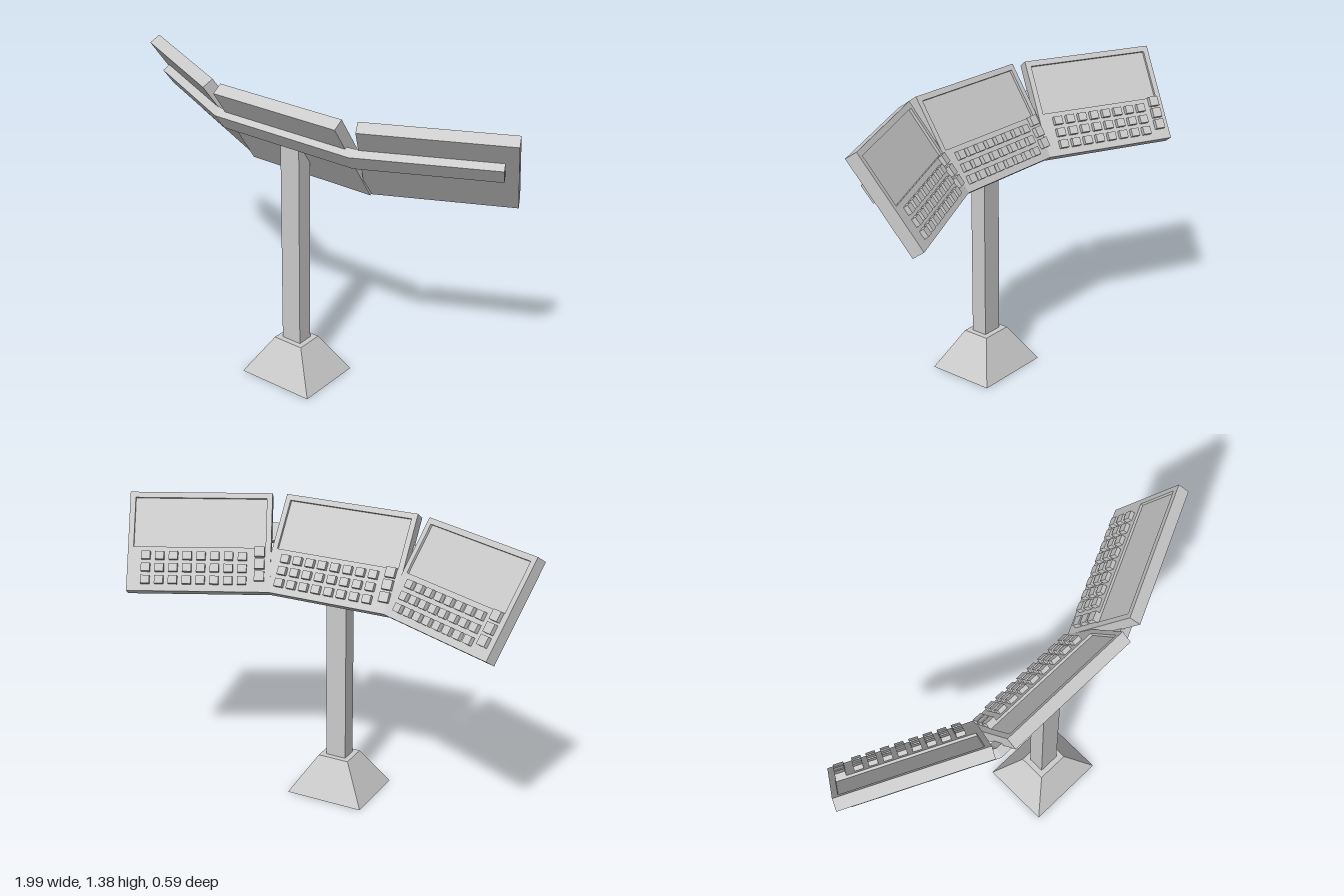
import * as THREE from 'three';

const material = new THREE.MeshStandardMaterial({ color: 0xcccccc, flatShading: true });
const openMaterial = new THREE.MeshStandardMaterial({ color: 0xcccccc, flatShading: true, side: THREE.DoubleSide });

const YAW = THREE.MathUtils.degToRad(25.4); // swing of the side panels
const TILT = 0.585; // lean of every panel from upright
const W = 0.65, H = 0.462, T = 0.056, RECESS = 0.012; // panel size
const POLE_Z = 0.133;

function addMesh(parent, name, geometry, x = 0, y = 0, z = 0, mat = material) {
  const mesh = new THREE.Mesh(geometry, mat);
  mesh.name = name;
  mesh.position.set(x, y, z);
  parent.add(mesh);
  return mesh;
}

function rectangle(PathType, x0, y0, x1, y1) {
  return new PathType([[x0, y0], [x1, y0], [x1, y1], [x0, y1]].map(p => new THREE.Vector2(...p)));
}

// Console panel: local y runs up the slope, local z points out of the keyed face
function makePanel(name) {
  const panel = new THREE.Group();
  panel.name = name;
  addMesh(panel, 'panelBody', new THREE.BoxGeometry(W, H, T - RECESS), 0, 0, -RECESS / 2);

  // Raised rim whose opening forms the sunken screen
  const rim = rectangle(THREE.Shape, -W / 2, -H / 2, W / 2, H / 2);
  rim.holes.push(rectangle(THREE.Path, -0.3, -0.026, 0.3, 0.205));
  addMesh(panel, 'screenFrame', new THREE.ExtrudeGeometry(rim, { depth: RECESS, bevelEnabled: false }), 0, 0, T / 2 - RECESS);

  // Three rows of keys, with a separate column of wider keys at one end
  const key = new THREE.BoxGeometry(0.04, 0.037, 0.02);
  const wideKey = new THREE.BoxGeometry(0.045, 0.045, 0.02);
  for (let row = 0; row < 3; row++) {
    const y = -H / 2 + 0.05 + row * 0.056;
    for (let col = 0; col < 8; col++) addMesh(panel, 'key', key, -0.24 + col * 0.0625, y, T / 2 + 0.01);
    addMesh(panel, 'wideKey', wideKey, 0.275, y + 0.022, T / 2 + 0.01);
  }
  return panel;
}

// Support rail: one cross-section swept through two mitred corners
function makeRailGeometry() {
  const profile = [[0.24, 1.22], [0.192, 1.15], [0.155, 1.175], [0.203, 1.245]]; // z, y
  const stations = [[-1, true], [-1, false], [1, false], [1, true]]; // side, at the outer end
  const positions = [];
  for (const [side, outer] of stations) {
    for (const [z, y] of profile) {
      const d = z - 0.24;
      if (outer) positions.push(side * (0.93 + d * Math.sin(YAW)), y, -0.03 + d * Math.cos(YAW));
      else positions.push(side * (0.362 + d * Math.tan(YAW / 2)), y, z);
    }
  }
  const index = [0, 2, 1, 0, 3, 2, 12, 13, 14, 12, 14, 15];
  for (let i = 0; i < 3; i++) {
    for (let j = 0; j < 4; j++) {
      const a = i * 4 + j, b = i * 4 + (j + 1) % 4;
      index.push(a, b, a + 4, b, b + 4, a + 4);
    }
  }
  const indexed = new THREE.BufferGeometry();
  indexed.setAttribute('position', new THREE.Float32BufferAttribute(positions, 3));
  indexed.setIndex(index);
  const geometry = indexed.toNonIndexed();
  geometry.computeVertexNormals();
  return geometry;
}

export function createModel() {
  const model = new THREE.Group();
  model.name = 'consoleStand';

  // Hollow four-sided foot, open below
  const foot = new THREE.CylinderGeometry(0.4 * Math.SQRT2, Math.SQRT2, 0.18, 4, 1, true);
  foot.rotateY(Math.PI / 4).scale(0.19, 1, 0.1625);
  addMesh(model, 'foot', foot, 0, 0.09, POLE_Z, openMaterial);
  const cap = new THREE.PlaneGeometry(0.152, 0.13).rotateX(-Math.PI / 2);
  addMesh(model, 'footTop', cap, 0, 0.18, POLE_Z, openMaterial);

  // Pole with its top cut to the slope of the panel
  const side = new THREE.Shape([[0.095, 0.03], [0.172, 0.03], [0.172, 1.18], [0.095, 1.065]]
    .map(p => new THREE.Vector2(...p)));
  const pole = new THREE.ExtrudeGeometry(side, { depth: 0.1, bevelEnabled: false });
  pole.rotateY(-Math.PI / 2).translate(0.05, 0, 0);
  addMesh(model, 'pole', pole);

  addMesh(model, 'supportRail', makeRailGeometry());

  // Centre panel and two swung side panels, keys facing the back
  for (const [name, s] of [['rightPanel', -1], ['centrePanel', 0], ['leftPanel', 1]]) {
    const panel = makePanel(name);
    panel.rotation.set(-TILT, Math.PI + s * YAW, 0, 'YXZ');
    panel.position.set(s * 0.6375, 1.168, s ? -0.0175 : 0.1335);
    model.add(panel);
  }
  return model;
}
